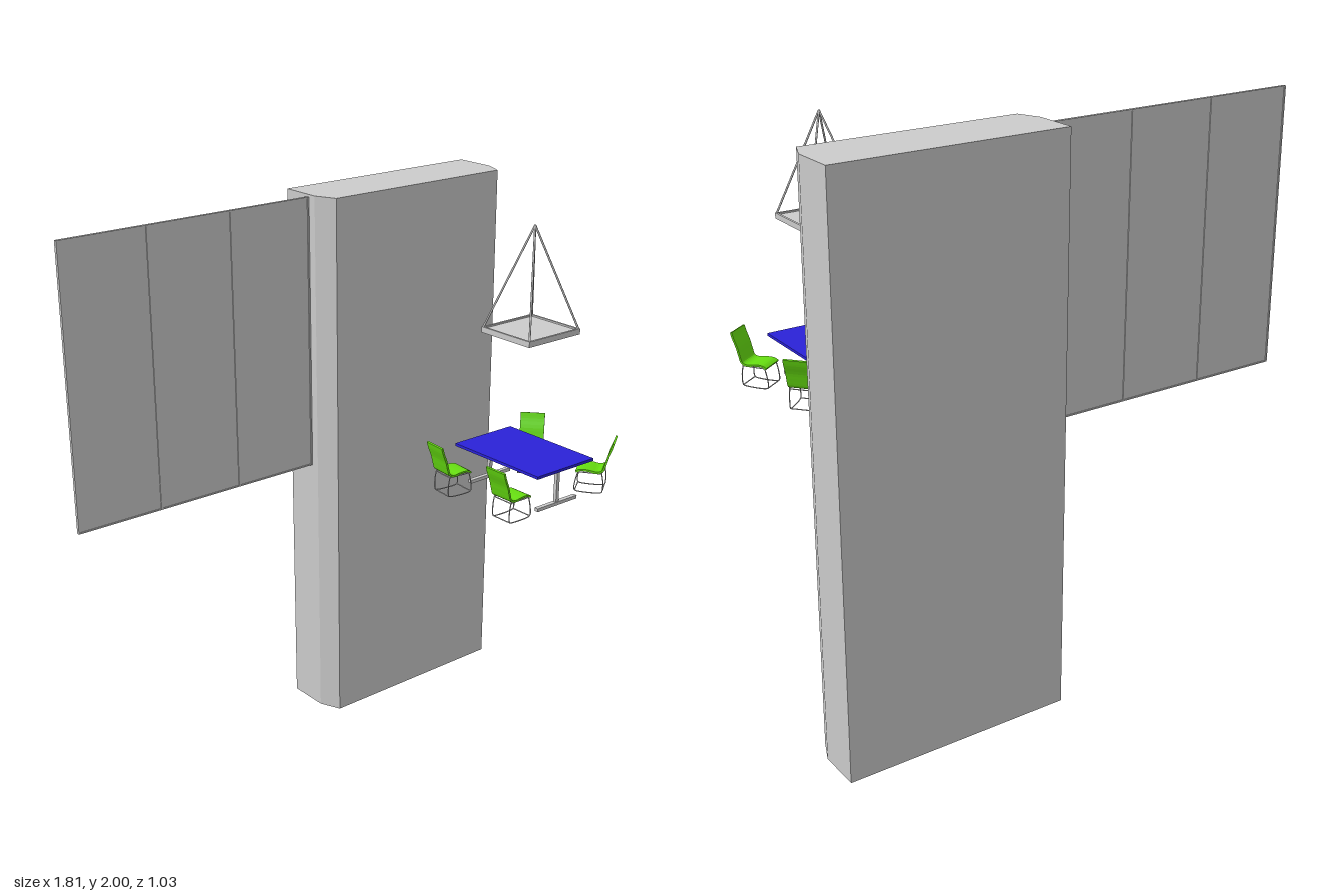
import * as THREE from 'three';

const mat = (color) => new THREE.MeshStandardMaterial({ color, side: THREE.DoubleSide });
const grey = mat(0xcccccc), green = mat(0x66dd11), blue = mat(0x2a22d8);

function add(parent, name, geometry, material = grey, x = 0, y = 0, z = 0) {
  const mesh = new THREE.Mesh(geometry, material);
  mesh.name = name;
  mesh.position.set(x, y, z);
  parent.add(mesh);
  return mesh;
}

const box = (parent, name, w, h, d, x, y, z, material) =>
  add(parent, name, new THREE.BoxGeometry(w, h, d), material, x, y, z);

function group(parent, name, x = 0, y = 0, z = 0) {
  const g = new THREE.Group();
  g.name = name;
  g.position.set(x, y, z);
  parent.add(g);
  return g;
}

// Straight round rod between two points
function rod(parent, name, a, b, radius) {
  const from = new THREE.Vector3(...a), to = new THREE.Vector3(...b);
  const mesh = add(parent, name, new THREE.CylinderGeometry(radius, radius, from.distanceTo(to), 8));
  mesh.position.copy(from).add(to).multiplyScalar(0.5);
  mesh.quaternion.setFromUnitVectors(new THREE.Vector3(0, 1, 0), to.sub(from).normalize());
}

// Tall slab with its two front corners chamfered
function buildPillar(parent) {
  const outline = [[0.075, -0.515], [0.9, -0.515], [0.9, -0.36], [0.867, -0.283], [0.109, -0.283], [0.075, -0.36]];
  const shape = new THREE.Shape(outline.map(([x, z]) => new THREE.Vector2(x, -z)));
  const geometry = new THREE.ExtrudeGeometry(shape, { depth: 2, bevelEnabled: false });
  geometry.rotateX(-Math.PI / 2);
  add(parent, 'pillar', geometry);
}

// Three wall panels between slim posts and rails
function buildScreen(parent) {
  const g = group(parent, 'screenWall', 0, 0, -0.397);
  const left = -0.905, bay = 0.98 / 3;
  for (let i = 0; i < 3; i++)
    box(g, 'wallPanel', bay, 0.985, 0.006, left + bay * (i + 0.5), 1.496, 0);
  for (let i = 0; i < 4; i++) {
    const x = left + bay * i + (i === 0 ? 0.003 : i === 3 ? -0.003 : 0);
    box(g, 'wallPost', 0.006, 0.99, 0.012, x, 1.496, 0);
  }
  for (const y of [1.003, 1.989]) box(g, 'wallRail', 0.98, 0.005, 0.012, left + 0.49, y, 0);
}

// Table with two T-shaped pedestals
function buildTable(parent) {
  const g = group(parent, 'table', 0.49, 0, 0.279);
  box(g, 'tableTop', 0.27, 0.01, 0.408, 0, 1.151, 0, blue);
  for (const s of [-1, 1]) {
    box(g, 'tablePost', 0.013, 0.132, 0.013, 0, 1.08, s * 0.165);
    box(g, 'tableFoot', 0.19, 0.012, 0.016, 0, 1.012, s * 0.165);
    box(g, 'tableBracket', 0.19, 0.006, 0.016, 0, 1.143, s * 0.165);
  }
}

// Pendant lamp: framed tray with slats below, hung from four rods
function buildLamp(parent) {
  const g = group(parent, 'lamp', 0.49, 0, 0.288);
  const hx = 0.12, hz = 0.114, y = 1.595;
  box(g, 'lampPlate', 2 * hx, 0.005, 2 * hz, 0, 1.597, 0);
  for (const s of [-1, 1]) {
    box(g, 'lampRim', 2 * hx, 0.02, 0.008, 0, y, s * (hz - 0.004));
    box(g, 'lampRim', 0.008, 0.02, 2 * hz, s * (hx - 0.004), y, 0);
    for (const t of [-1, 1])
      rod(g, 'lampRod', [s * (hx - 0.004), 1.603, t * (hz - 0.004)], [0, 1.955, 0], 0.0035);
  }
  for (let i = -3; i <= 3; i++) box(g, 'lampSlat', 2 * hx - 0.01, 0.008, 0.003, 0, 1.591, i * 0.028);
  for (let i = -1; i <= 1; i++) box(g, 'lampDivider', 0.003, 0.008, 2 * hz - 0.01, i * 0.06, 1.591, 0);
}

// Chair facing local +x: bent shell on a wire sled frame
function buildChair(parent, x, z, turn) {
  const g = group(parent, 'chair', x, 1, z);
  g.rotation.y = turn;
  const width = 0.088, thick = 0.007;
  const curve = new THREE.CatmullRomCurve3([
    [-0.068, 0.196], [-0.062, 0.175], [-0.049, 0.142], [-0.041, 0.112], [-0.033, 0.09],
    [-0.015, 0.083], [0.015, 0.087], [0.045, 0.087], [0.06, 0.08],
  ].map(([u, v]) => new THREE.Vector3(u, v, 0)));
  const front = [], back = [];
  for (let i = 0; i <= 24; i++) {
    const p = curve.getPoint(i / 24), t = curve.getTangent(i / 24);
    front.push(new THREE.Vector2(p.x - t.y * thick / 2, p.y + t.x * thick / 2));
    back.unshift(new THREE.Vector2(p.x + t.y * thick / 2, p.y - t.x * thick / 2));
  }
  const shell = new THREE.ExtrudeGeometry(new THREE.Shape([...front, ...back]), { depth: width, bevelEnabled: false });
  add(g, 'chairShell', shell, green, 0, 0, -width / 2);

  const r = 0.002, w = width / 2 - 0.004;
  const loop = [[-0.03, 0.082], [-0.036, 0.05], [-0.034, 0.01], [-0.028, 0.007], [0.056, 0.007],
    [0.063, 0.012], [0.06, 0.05], [0.052, 0.08]];
  for (const s of [-1, 1]) {
    const path = new THREE.CatmullRomCurve3(loop.map(([u, v]) => new THREE.Vector3(u, v, s * w)), false, 'centripetal');
    add(g, 'chairLegFrame', new THREE.TubeGeometry(path, 36, r, 6));
    rod(g, 'seatRail', [-0.03, 0.079, s * w], [0.052, 0.079, s * w], r);
  }
  for (const [u, v] of [[-0.034, 0.009], [0.061, 0.009], [-0.03, 0.078], [0.052, 0.078]])
    rod(g, 'chairCrossbar', [u, v, -w], [u, v, w], r);
}

export function createModel() {
  const model = new THREE.Group();
  model.name = 'diningCorner';
  buildPillar(model);
  buildScreen(model);
  buildTable(model);
  buildLamp(model);
  const chairs = [
    [0.285, 0.127, -0.1],
    [0.287, 0.42, 0],
    [0.662, 0.146, Math.atan2(-0.66, -0.75)],
    [0.698, 0.427, Math.atan2(0.82, -0.57)],
  ];
  for (const [x, z, turn] of chairs) buildChair(model, x, z, turn);
  return model;
}
